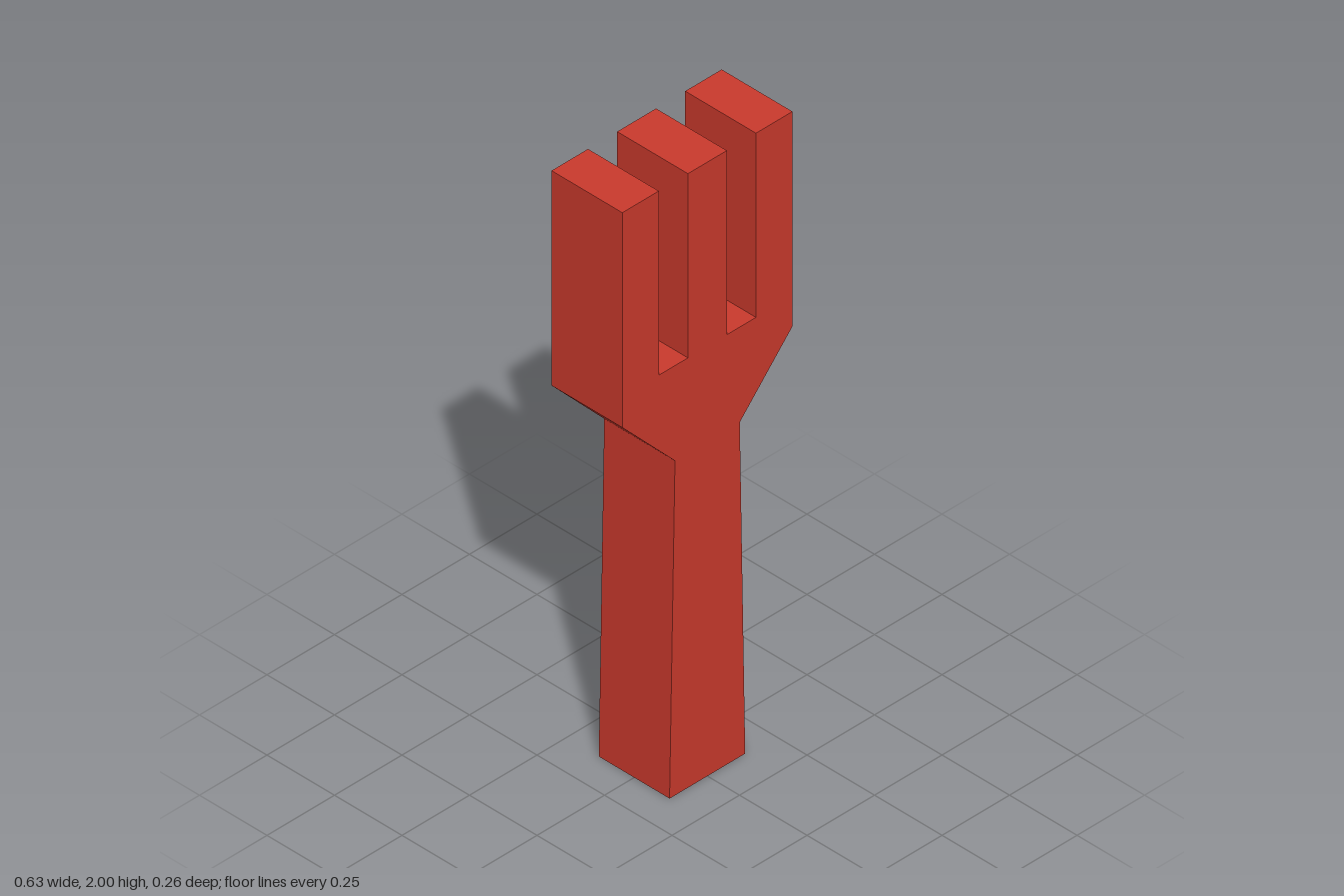
import * as THREE from 'three';

export function createModel() {
  const group = new THREE.Group();
  group.name = 'fork';

  const red = new THREE.MeshStandardMaterial({ color: 0xcc3a2d });
  red.name = 'red';

  // Right half of the outline, from the handle's foot up to the middle tine
  const half = [
    [0.14, 0], [0.12, 1.09],               // tapered handle
    [0.315, 1.3], [0.315, 2],              // flared shoulder, outer tine
    [0.18, 2], [0.18, 1.4],                // slot between tines
    [0.072, 1.4], [0.072, 2],              // middle tine
  ];
  const mirrored = half.map(([x, y]) => [-x, y]).reverse();
  const outline = [...half, ...mirrored].map(([x, y]) => new THREE.Vector2(x, y));

  // One solid slab: handle, shoulders and three tines
  const depth = 0.262;
  const geometry = new THREE.ExtrudeGeometry(new THREE.Shape(outline), { depth, bevelEnabled: false });
  geometry.translate(0, 0, -depth / 2);

  const body = new THREE.Mesh(geometry, red);
  body.name = 'forkBody';
  group.add(body);
  return group;
}
